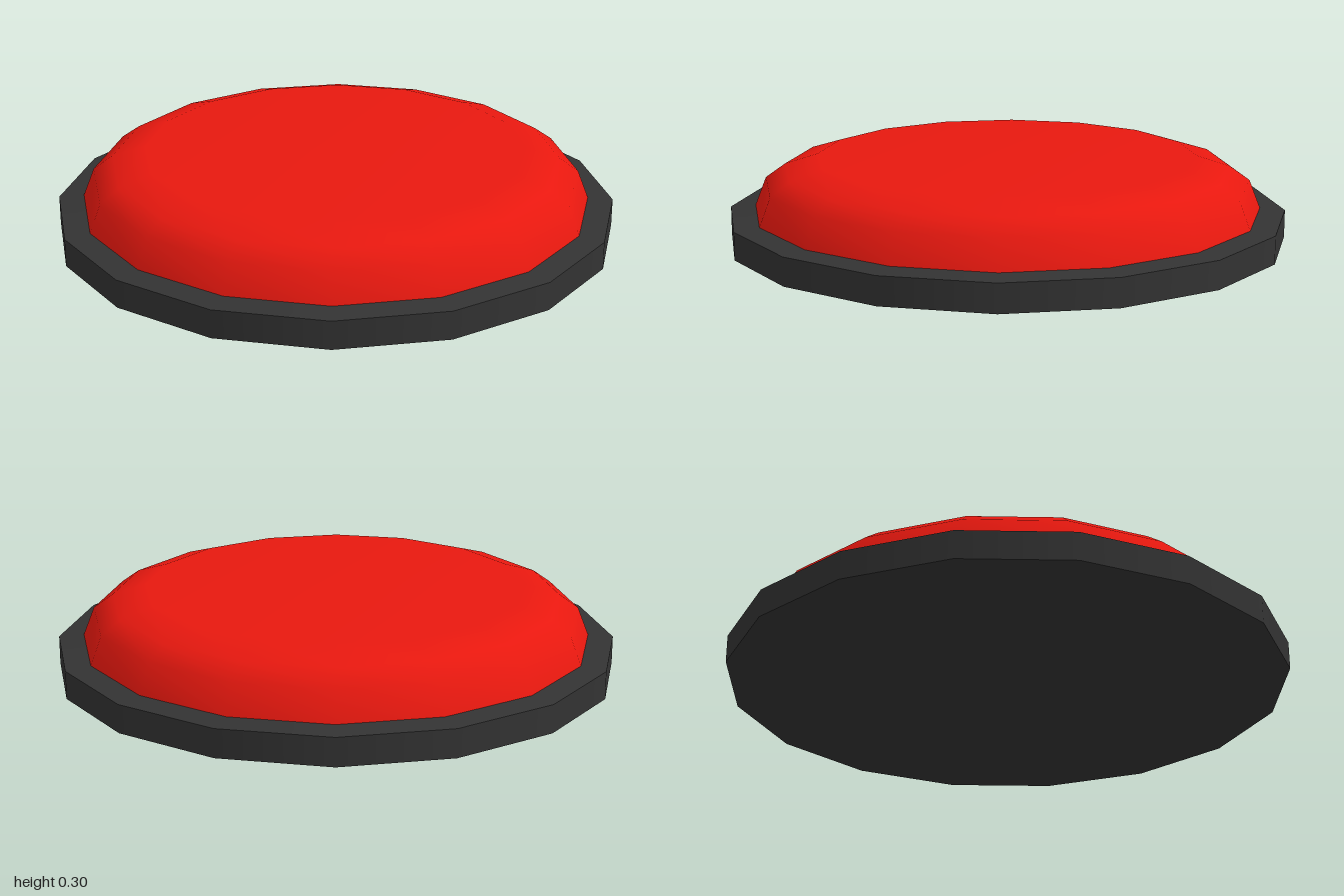
import * as THREE from 'three';

const SIDES = 16;

export function createModel() {
  const model = new THREE.Group();
  const black = new THREE.MeshStandardMaterial({ color: 0x333333 });
  const red = new THREE.MeshStandardMaterial({ color: 0xe8180f });

  // Revolves a profile, listed from bottom to top, given as [radius, height]
  const turned = (profile) =>
    new THREE.LatheGeometry(profile.map(([r, y]) => new THREE.Vector2(r, y)), SIDES);

  const add = (name, geometry, material, parent) => {
    const mesh = new THREE.Mesh(geometry, material);
    mesh.name = name;
    parent.add(mesh);
    return mesh;
  };

  // Base: separate pieces keep the edges between them sharp
  const base = new THREE.Group();
  base.name = 'base';
  model.add(base);
  add('baseUnderside', turned([[0, 0], [1, 0]]), black, base);
  add('baseWall', turned([[1, 0], [1, 0.1]]), black, base);
  add('baseRim', turned([[1, 0.1], [0.91, 0.108]]), black, base);

  // Domed push cap with a flat top
  add('buttonCap', turned([
    [0.91, 0.108], [0.87, 0.21], [0.8, 0.26], [0.68, 0.298], [0, 0.298],
  ]), red, model);

  return model;
}
